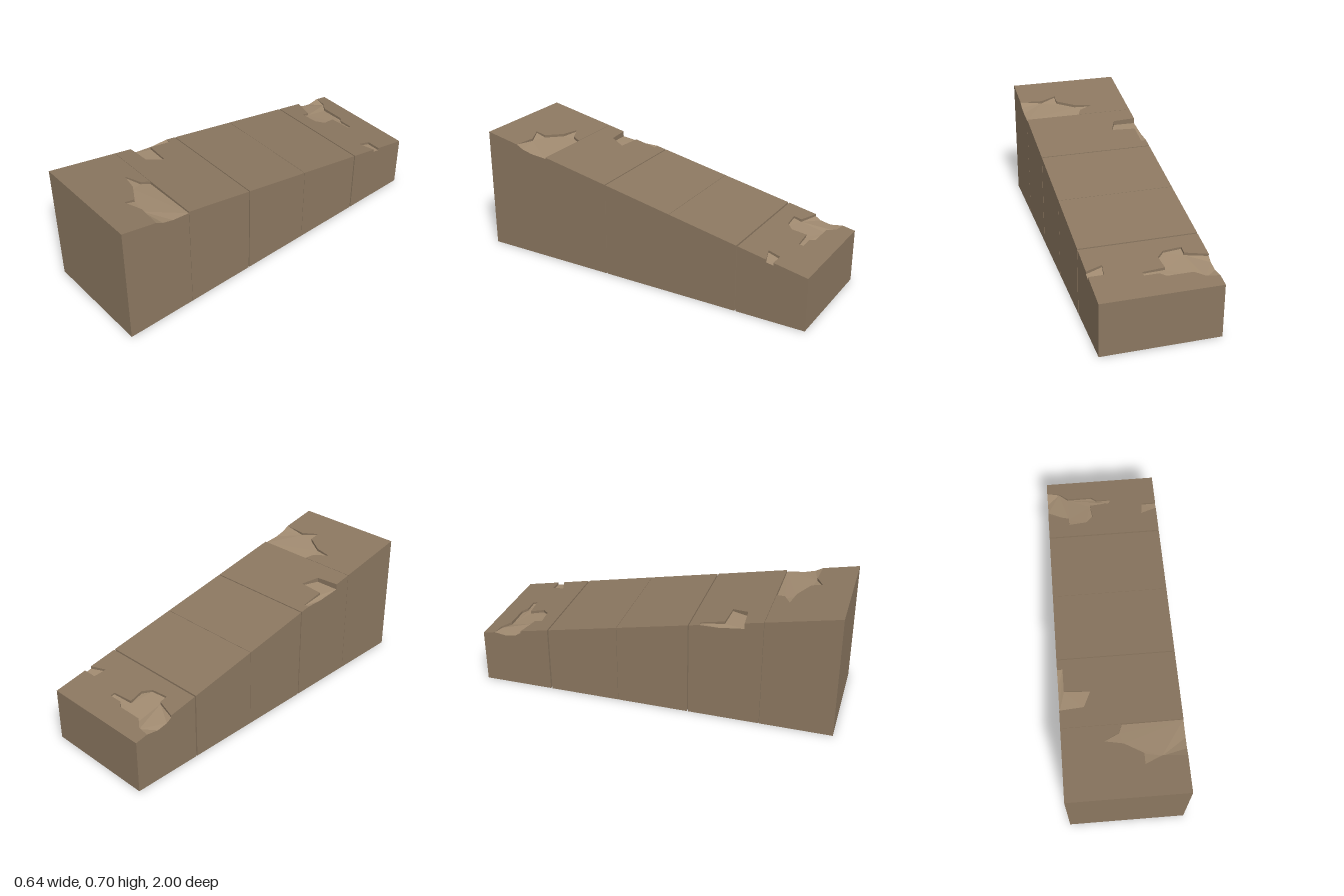
import * as THREE from 'three';

const W = 0.32;                                  // half width
const slope = z => 0.5 + 0.2 * z;                // ramp height at z
const stone = new THREE.MeshStandardMaterial({ color: 0x8b7760 });
const chipped = new THREE.MeshStandardMaterial({ color: 0xa08a70 });

// Points are [x, z, depth below the ramp surface].
// rim: edge of the chip on the ramp, outer: the chip's course along the block's side.
const chips = {
  frontRight: {
    rim: [[0, 0.602, 0.015], [-0.02, 0.65, 0.015], [-0.1, 0.69, 0.008], [0, 0.71, 0.015], [0.1, 0.77, 0.015],
      [0.1, 0.83, 0.008], [0.19, 0.79, 0.015], [W, 0.8, 0]],
    outer: [[W, 0.602, 0.008], [W, 0.7, 0.018], [W, 0.76, 0.014]]
  },
  middleLeft: {
    rim: [[-W, 0.5, 0.032], [-0.19, 0.49, 0.025], [-0.15, 0.4, 0.012], [-0.29, 0.39, 0.015], [-0.29, 0.26, 0.006], [-W, 0.26, 0]],
    outer: [[-W, 0.36, 0.02]]
  },
  backRight: {
    rim: [[W, -0.81, 0.015], [0.24, -0.81, 0.015], [0.23, -0.74, 0.012], [W, -0.77, 0.015]],
    outer: []
  },
  backLeft: {
    rim: [[-W, -0.77, 0.012], [-0.2, -0.735, 0.015], [-0.2, -0.69, 0.012], [-0.1, -0.7, 0.012], [-0.06, -0.74, 0.015],
      [-0.07, -0.82, 0.015], [0.05, -0.83, 0.01], [0.05, -0.855, 0.01], [-0.03, -0.855, 0.015], [-0.06, -0.88, 0.015],
      [-0.2, -0.88, 0.018], [-0.25, -0.92, 0.01], [-W, -0.93, 0]],
    outer: [[-W, -0.8, 0.025], [-W, -0.86, 0.025]]
  }
};

function toMesh(name, positions, material) {
  const geometry = new THREE.BufferGeometry();
  geometry.setAttribute('position', new THREE.Float32BufferAttribute(positions, 3));
  geometry.computeVertexNormals();
  const mesh = new THREE.Mesh(geometry, material);
  mesh.name = name;
  return mesh;
}

// Fill an outline with upward facing triangles
function fill(out, outline, height) {
  const flat = outline.map(p => new THREE.Vector2(p[0], p[1]));
  for (const tri of THREE.ShapeUtils.triangulateShape(flat, [])) {
    const [a, b, c] = tri.map(i => outline[i]);
    const turn = (b[0] - a[0]) * (c[1] - a[1]) - (b[1] - a[1]) * (c[0] - a[0]);
    for (const p of turn > 0 ? [a, c, b] : [a, b, c]) out.push(p[0], height(p), p[1]);
  }
}

// Upright wall from p to q, facing left of travel as seen from above
function wall(out, p, q, low, high) {
  const corner = (s, y) => [s[0], y(s), s[1]];
  const a = corner(p, low), b = corner(p, high), c = corner(q, high), d = corner(q, low);
  out.push(...a, ...b, ...c, ...a, ...c, ...d);
}

function makeBlock(name, z0, z1, right, left) {
  const group = new THREE.Group();
  group.name = name;
  const top = p => slope(p[1]), floor = p => slope(p[1]) - p[2], ground = () => 0;
  const onSide = (p, q) => [[0, -W], [0, W], [1, z0], [1, z1]].some(([k, v]) => p[k] === v && q[k] === v);
  const eachEdge = (outline, fn) => outline.forEach((p, i) => fn(p, outline[(i + 1) % outline.length]));

  // Top outline, walked back left, back right, front right, front left
  const rightRim = right ? right.rim : [];
  const cornerLost = right && rightRim[0][1] === z0;
  const outline = [[-W, z0, 0], ...(cornerLost ? [] : [[W, z0, 0]]), ...rightRim,
    [W, z1, 0], [-W, z1, 0], ...(left ? left.rim : [])];

  const body = [];
  fill(body, outline, top);
  eachEdge(outline, (p, q) => wall(body, p, q, onSide(p, q) ? ground : floor, top));

  // Underside
  body.push(-W, 0, z0, W, 0, z0, W, 0, z1, -W, 0, z0, W, 0, z1, -W, 0, z1);

  // Sunken chip floors and the sides beneath them
  for (const chip of [right, left]) {
    if (!chip) continue;
    const area = [...[...chip.rim].reverse(), ...chip.outer];
    const face = [];
    fill(face, area, floor);
    group.add(toMesh('chipFloor', face, chipped));
    eachEdge(area, (p, q) => { if (onSide(p, q)) wall(body, p, q, ground, floor); });
  }
  group.add(toMesh('blockBody', body, stone));
  return group;
}

export function createModel() {
  const model = new THREE.Group();
  model.name = 'stoneRamp';
  model.add(
    makeBlock('frontBlock', 0.602, 1, chips.frontRight, null),
    makeBlock('secondBlock', 0.204, 0.6, null, chips.middleLeft),
    makeBlock('middleBlock', -0.2, 0.198, null, null),
    makeBlock('fourthBlock', -0.6, -0.202, null, null),
    makeBlock('backBlock', -1, -0.608, chips.backRight, chips.backLeft)
  );
  return model;
}
